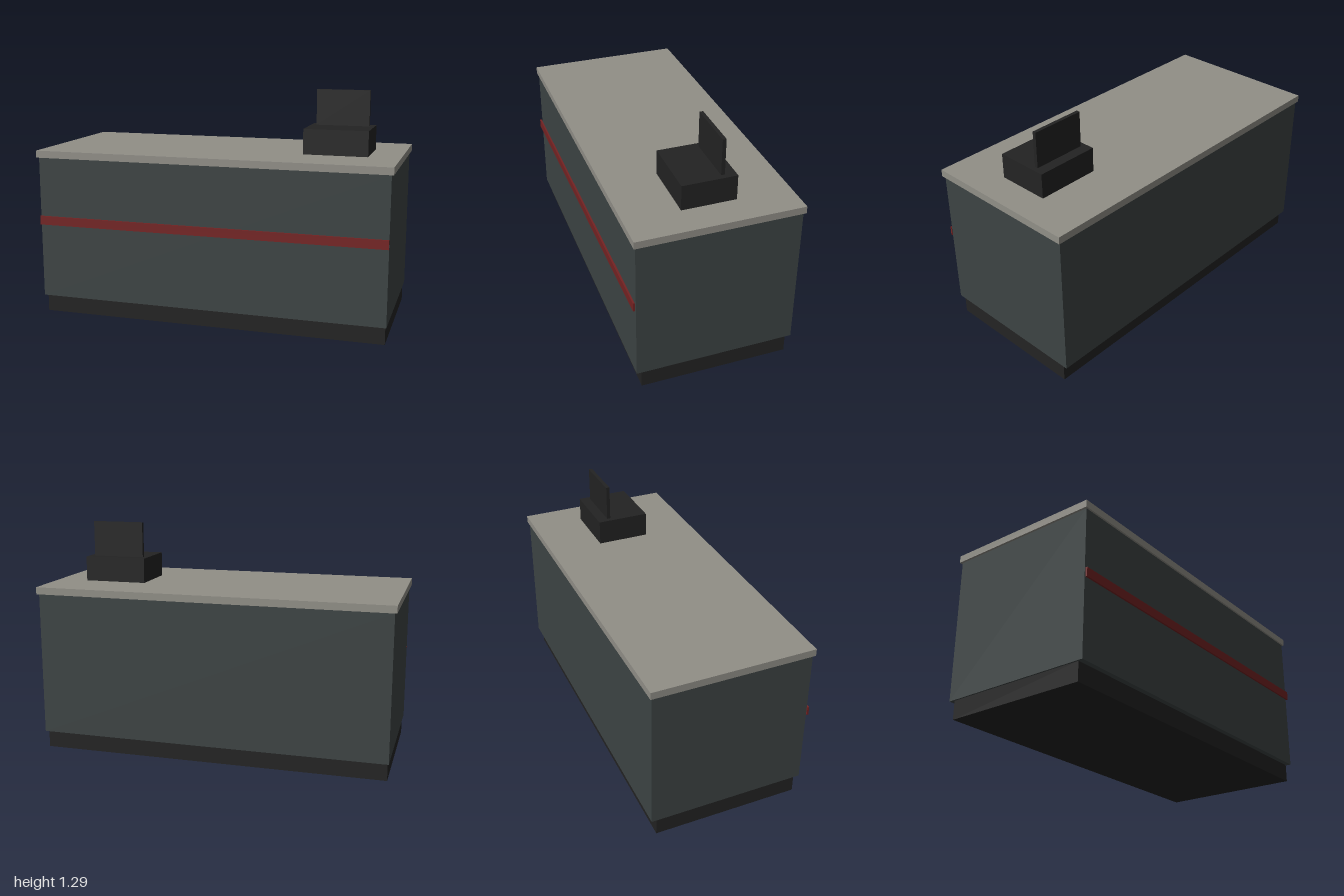
import * as THREE from 'three';

function material(name, color) {
  const m = new THREE.MeshStandardMaterial({ color });
  m.name = name;
  return m;
}

export function createModel() {
  const model = new THREE.Group();
  model.name = 'checkoutCounter';

  const black = material('black', 0x232323);
  const slate = material('slate', 0x3d4444);
  const stone = material('stone grey', 0x918f87);
  const red = material('dark red', 0x752323);

  // Box given by its extents on each axis
  function box(name, mat, [x0, x1], [y0, y1], [z0, z1]) {
    const mesh = new THREE.Mesh(new THREE.BoxGeometry(x1 - x0, y1 - y0, z1 - z0), mat);
    mesh.position.set((x0 + x1) / 2, (y0 + y1) / 2, (z0 + z1) / 2);
    mesh.name = name;
    model.add(mesh);
  }

  // Counter: recessed plinth, cabinet and overhanging worktop
  box('plinth', black, [-0.98, 0.98], [0, 0.102], [-0.412, 0.407]);
  box('cabinet', slate, [-0.988, 0.988], [0.102, 0.91], [-0.441, 0.436]);
  box('worktop', stone, [-1, 1], [0.91, 0.95], [-0.451, 0.446]);

  // Trim strip standing just off the front panel
  box('trimStrip', red, [-0.988, 0.988], [0.525, 0.575], [0.441, 0.451]);

  // Cash register with upright display
  box('registerBase', black, [0.469, 0.826], [0.95, 1.09], [-0.151, 0.146]);
  box('registerScreen', black, [0.498, 0.797], [1.09, 1.29], [-0.092, -0.072]);

  return model;
}
